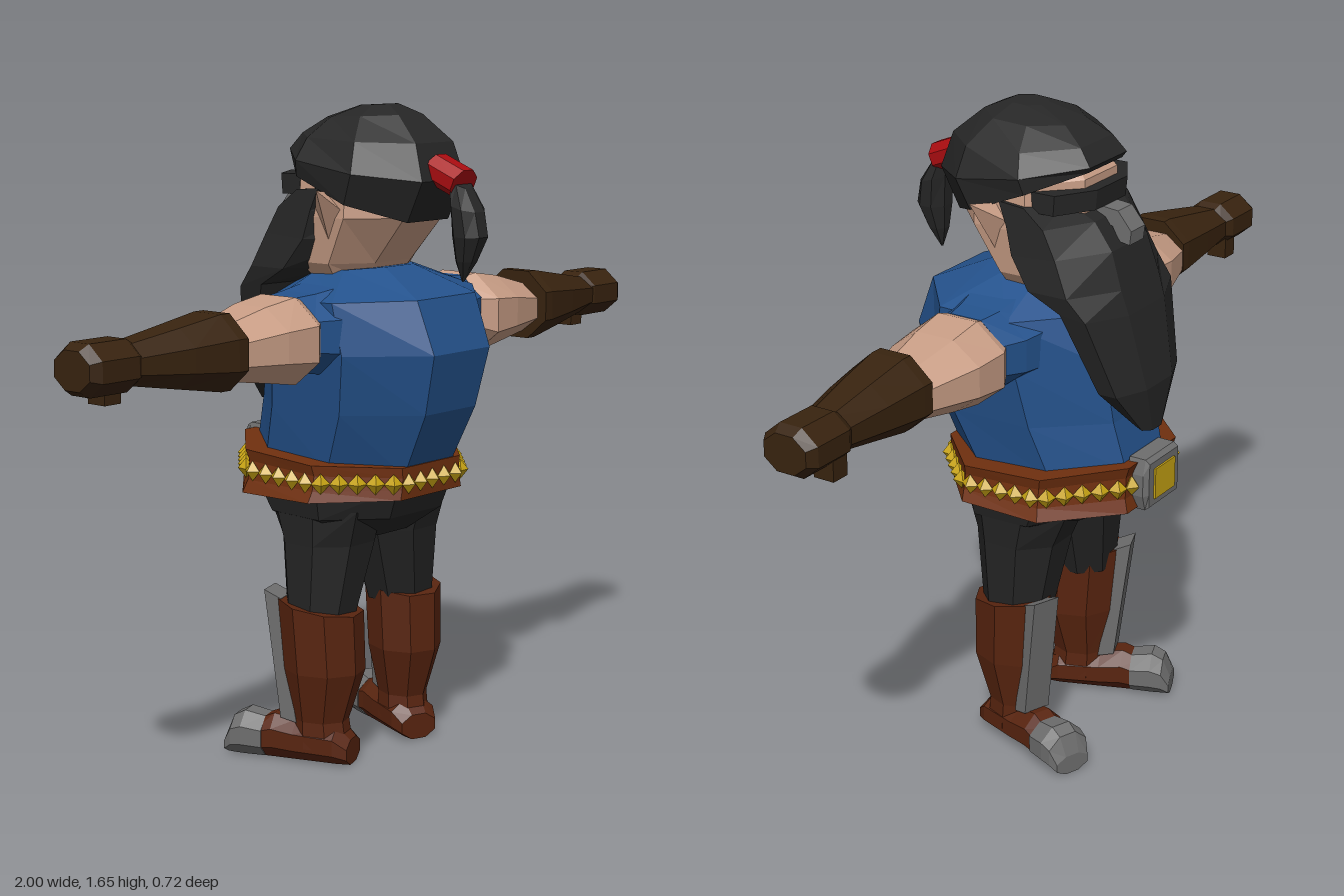
import * as THREE from 'three';

const mat = (name, color) => Object.assign(new THREE.MeshStandardMaterial({ color }), { name });
const M = {
  cloth: mat('blueCloth', 0x24528c), skin: mat('skin', 0xc89d85), hair: mat('blackHair', 0x262626),
  trousers: mat('blackTrousers', 0x242424), glove: mat('darkBrownLeather', 0x38230f), boot: mat('bootLeather', 0x58240f),
  belt: mat('beltLeather', 0x70300f), gold: mat('gold', 0xc8a414), metal: mat('greyMetal', 0x6e6e6e), red: mat('redTie', 0xa80c10),
};

// Octagon with flat sides, in units of half width and half depth
const OCT = Array.from({ length: 8 }, (_, k) => {
  const a = Math.PI / 8 + k * Math.PI / 4, c = Math.cos(Math.PI / 8);
  return [Math.cos(a) / c, Math.sin(a) / c];
});

// Horizontal ring; its height may slope from back (+z) to front (-z)
const ringY = (yB, yF, zB, zF, w, cx = 0) => OCT.map(([u, v]) =>
  [cx + u * w, (yB + yF) / 2 + v * (yB - yF) / 2, (zB + zF) / 2 + v * (zB - zF) / 2]);
// Ring across the x axis
const ringX = (x, y0, y1, z0, z1) => OCT.map(([u, v]) =>
  [x, (y0 + y1) / 2 + u * (y1 - y0) / 2, (z0 + z1) / 2 + v * (z1 - z0) / 2]);
// Ring across the z axis
const ringZ = (z, y0, y1, w) => OCT.map(([u, v]) => [u * w, (y0 + y1) / 2 + v * (y1 - y0) / 2, z]);

// Closed faceted skin through rings of equal count, always facing outward
function loft(rings) {
  const tris = [], n = rings[0].length;
  const mid = r => [0, 1, 2].map(i => r.reduce((s, p) => s + p[i], 0) / n);
  const first = rings[0], last = rings[rings.length - 1], c0 = mid(first), c1 = mid(last);
  for (let k = 0; k < n; k++) {
    const j = (k + 1) % n;
    for (let i = 0; i < rings.length - 1; i++) {
      const a = rings[i], b = rings[i + 1];
      tris.push([a[k], a[j], b[j]], [a[k], b[j], b[k]]);
    }
    tris.push([c0, first[j], first[k]], [c1, last[k], last[j]]);
  }
  const V = p => new THREE.Vector3(...p);
  const volume = tris.reduce((s, [a, b, c]) => s + V(a).sub(V(c0)).dot(V(b).sub(V(c0)).cross(V(c).sub(V(c0)))), 0);
  if (volume < 0) tris.forEach(t => t.reverse());
  const g = new THREE.BufferGeometry();
  g.setAttribute('position', new THREE.Float32BufferAttribute(tris.flat(2), 3));
  g.computeVertexNormals();
  return g;
}

// Side profile of [z, y] points, extruded across x
function prism(points, width) {
  const shape = new THREE.Shape(points.map(p => new THREE.Vector2(...p)));
  return new THREE.ExtrudeGeometry(shape, { depth: width, bevelEnabled: false })
    .translate(0, 0, -width / 2).rotateY(-Math.PI / 2);
}

export function createModel() {
  const root = new THREE.Group();
  const add = (name, geo, material, parent = root, x = 0, y = 0, z = 0) => {
    const m = new THREE.Mesh(geo, material);
    m.name = name;
    m.position.set(x, y, z);
    parent.add(m);
    return m;
  };
  const box = (w, h, d) => new THREE.BoxGeometry(w, h, d);

  // Torso and hips
  add('tunic', loft([
    ringY(0.75, 0.79, 0.19, -0.30, 0.21), ringY(0.91, 0.91, 0.265, -0.27, 0.235),
    ringY(1.06, 1.06, 0.30, -0.25, 0.26), ringY(1.19, 1.18, 0.25, -0.205, 0.27),
    ringY(1.255, 1.235, 0.10, -0.13, 0.13)]), M.cloth);
  add('hips', loft([
    ringY(0.72, 0.72, 0.185, -0.28, 0.255), ringY(0.64, 0.65, 0.155, -0.22, 0.24),
    ringY(0.58, 0.59, 0.08, -0.13, 0.13)]), M.trousers);

  // Belt with a flared lower edge, studs and buckle
  add('belt', loft([
    ringY(0.695, 0.69, 0.205, -0.325, 0.285), ringY(0.72, 0.725, 0.205, -0.315, 0.272),
    ringY(0.75, 0.78, 0.205, -0.315, 0.265), ringY(0.775, 0.81, 0.205, -0.325, 0.272)]), M.belt);
  const studs = new THREE.Group();
  studs.name = 'beltStuds';
  root.add(studs);
  const track = ringY(0.735, 0.755, 0.208, -0.32, 0.275).map(p => new THREE.Vector3(...p));
  const studShape = new THREE.OctahedronGeometry(1).scale(0.024, 0.026, 0.021);
  track.forEach((a, k) => {
    const b = track[(k + 1) % 8], count = Math.round(a.distanceTo(b) / 0.042);
    for (let i = 0; i < count; i++) {
      const p = a.clone().lerp(b, (i + 0.5) / count);
      add('stud', studShape, M.gold, studs, p.x, p.y, p.z).rotation.y = -Math.atan2(b.z - a.z, b.x - a.x);
    }
  });
  add('buckle', loft([
    ringZ(-0.30, 0.685, 0.82, 0.08), ringZ(-0.345, 0.685, 0.82, 0.08), ringZ(-0.357, 0.695, 0.81, 0.07),
  ].map(r => r.map(([x, y, z]) => [Math.sign(x) * Math.max(Math.abs(x), 0.068), y, z]))), M.metal);
  add('bucklePlate', box(0.095, 0.08, 0.008), M.gold, root, 0, 0.752, -0.358);

  // Head
  add('head', loft([
    ringY(1.22, 1.22, 0.05, -0.10, 0.13), ringY(1.265, 1.265, 0.08, -0.15, 0.165),
    ringY(1.38, 1.38, 0.178, -0.17, 0.182), ringY(1.48, 1.50, 0.18, -0.168, 0.175),
    ringY(1.55, 1.55, 0.14, -0.12, 0.14)]), M.skin);
  add('hairCap', loft([
    ringY(1.37, 1.52, 0.19, -0.178, 0.188), ringY(1.47, 1.535, 0.24, -0.188, 0.2),
    ringY(1.56, 1.575, 0.21, -0.155, 0.172), ringY(1.625, 1.615, 0.135, -0.095, 0.11),
    ringY(1.65, 1.645, 0.08, -0.01, 0.045)]), M.hair);
  add('beard', loft([
    ringY(1.455, 1.44, 0.05, -0.12, 0.188), ringY(1.39, 1.405, 0.05, -0.20, 0.192),
    ringY(1.32, 1.34, 0.045, -0.25, 0.198), ringY(1.25, 1.25, -0.02, -0.28, 0.21),
    ringY(1.21, 1.19, -0.13, -0.30, 0.2), ringY(1.0, 1.0, -0.22, -0.34, 0.145),
    ringY(0.9, 0.88, -0.29, -0.335, 0.05)]), M.hair);
  add('brow', loft([
    ringY(1.43, 1.43, 0, -0.195, 0.165), ringY(1.48, 1.48, 0, -0.2, 0.165)]), M.hair);
  add('nose', prism([[-0.15, 1.40], [-0.22, 1.385], [-0.24, 1.35], [-0.268, 1.345],
    [-0.272, 1.38], [-0.235, 1.425], [-0.15, 1.435]], 0.064), M.metal);

  // Ponytail
  add('hairTie', loft([[0.215, 1.5], [0.30, 1.465]].map(([z, y]) =>
    OCT.map(([u, v]) => [u * 0.045, y + v * 0.033, z + v * 0.014]))), M.red);
  add('ponytail', loft([
    ringY(1.455, 1.485, 0.315, 0.265, 0.03), ringY(1.40, 1.42, 0.35, 0.275, 0.045),
    ringY(1.34, 1.34, 0.362, 0.28, 0.042), ringY(1.28, 1.28, 0.335, 0.285, 0.025),
    ringY(1.23, 1.23, 0.303, 0.298, 0.003)]), M.hair);

  for (const s of [1, -1]) {
    const side = s > 0 ? 'left' : 'right';
    const alongX = rows => loft(rows.map(([x, ...r]) => ringX(s * x, ...r)));

    // Ear tapering to a point
    const earBase = [[0.165, 1.44, 0.01], [0.165, 1.39, -0.03], [0.17, 1.32, 0.02], [0.165, 1.39, 0.07]];
    add(side + 'Ear', loft([earBase, earBase.map(() => [0.245, 1.45, 0.045])]
      .map(r => r.map(([x, y, z]) => [s * x, y, z]))), M.skin);

    // Arm
    add(side + 'Sleeve', alongX([
      [0.14, 1.0, 1.225, -0.15, 0.18], [0.26, 1.01, 1.205, -0.125, 0.135], [0.322, 1.02, 1.2, -0.10, 0.11]]), M.cloth);
    add(side + 'UpperArm', alongX([
      [0.29, 1.03, 1.19, -0.09, 0.10], [0.345, 0.995, 1.205, -0.12, 0.145],
      [0.44, 1.01, 1.19, -0.115, 0.135], [0.58, 1.03, 1.155, -0.07, 0.10]]), M.skin);
    add(side + 'Bracer', alongX([
      [0.57, 1.01, 1.19, -0.075, 0.13], [0.60, 1.01, 1.19, -0.075, 0.13],
      [0.72, 1.03, 1.17, -0.065, 0.11], [0.87, 1.055, 1.145, -0.05, 0.075]]), M.glove);
    add(side + 'Fist', alongX([
      [0.83, 1.06, 1.14, -0.045, 0.065], [0.865, 1.04, 1.16, -0.065, 0.08],
      [0.975, 1.04, 1.16, -0.065, 0.08], [1.0, 1.055, 1.145, -0.05, 0.065]]), M.glove);
    add(side + 'Thumb', box(0.05, 0.06, 0.055), M.glove, root, s * 0.88, 1.04, -0.02);

    // Trouser leg
    add(side + 'Leg', loft([
      ringY(0.66, 0.66, 0.11, -0.18, 0.115, s * 0.125), ringY(0.57, 0.57, 0.085, -0.14, 0.112, s * 0.122),
      ringY(0.37, 0.37, 0.055, -0.11, 0.08, s * 0.153)]), M.trousers);

    // Boot, turned outward
    const boot = new THREE.Group();
    boot.name = side + 'Boot';
    boot.position.x = s * 0.153;
    boot.rotation.y = -s * 0.36;
    root.add(boot);
    add('bootShaft', loft([
      ringY(0.39, 0.42, 0.08, -0.122, 0.09), ringY(0.24, 0.24, 0.085, -0.108, 0.086),
      ringY(0.11, 0.11, 0.045, -0.09, 0.057), ringY(0.04, 0.04, 0.055, -0.09, 0.06)]), M.boot, boot);
    add('bootFoot', loft([
      ringZ(0.065, 0, 0.065, 0.05), ringZ(0.03, 0, 0.1, 0.062), ringZ(-0.08, 0, 0.105, 0.058),
      ringZ(-0.14, 0, 0.115, 0.055), ringZ(-0.19, 0, 0.095, 0.055)]), M.boot, boot);
    add('toeCap', loft([
      ringZ(-0.165, 0, 0.105, 0.058), ringZ(-0.22, 0, 0.115, 0.062),
      ringZ(-0.25, 0, 0.1, 0.058), ringZ(-0.27, 0, 0.05, 0.048)]), M.metal, boot);
    add('shinGuard', prism([[-0.075, 0.10], [-0.118, 0.11], [-0.142, 0.30], [-0.16, 0.44], [-0.115, 0.42], [-0.10, 0.25]],
      0.074), M.metal, boot);
  }
  return root;
}
